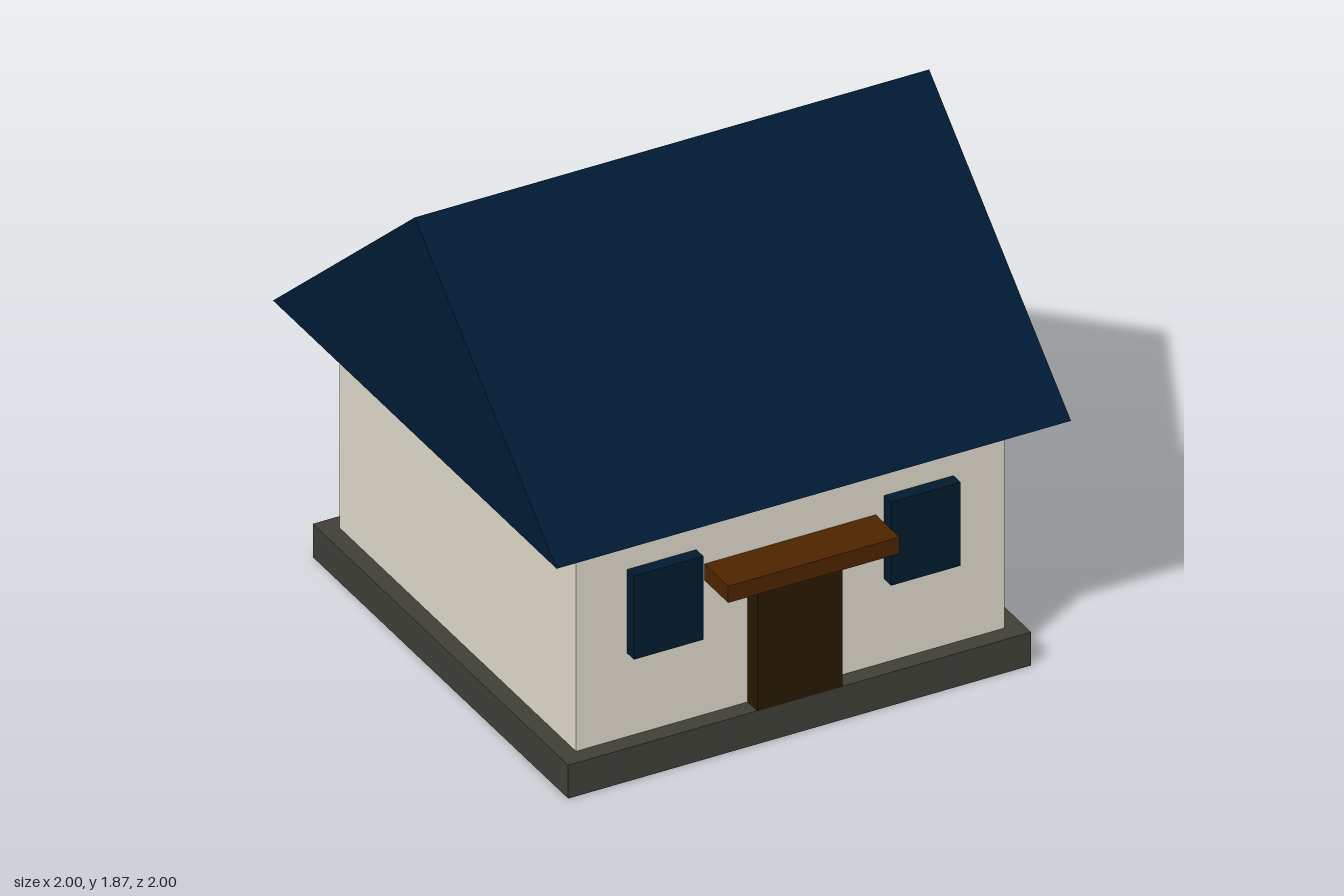
import * as THREE from 'three';

const material = (name, color) => {
  const m = new THREE.MeshStandardMaterial({ color });
  m.name = name;
  return m;
};

export function createModel() {
  const house = new THREE.Group();
  house.name = 'house';

  const stone = material('dark stone', 0x3f3f38);
  stone.side = THREE.DoubleSide;
  const plaster = material('cream plaster', 0xded8ca);
  const slate = material('navy roof', 0x001a34);
  const glass = material('dark blue glass', 0x001a2e);
  const doorWood = material('dark door wood', 0x281800);
  const awningWood = material('brown awning wood', 0x4d2400);

  const add = (name, geometry, mat) => {
    const mesh = new THREE.Mesh(geometry, mat);
    mesh.name = name;
    house.add(mesh);
    return mesh;
  };

  // Box given by its lowest and highest corners
  const box = (name, mat, [x0, y0, z0], [x1, y1, z1]) => {
    const mesh = add(name, new THREE.BoxGeometry(x1 - x0, y1 - y0, z1 - z0), mat);
    mesh.position.set((x0 + x1) / 2, (y0 + y1) / 2, (z0 + z1) / 2);
    return mesh;
  };

  // Foundation: a hollow tray, open underneath
  const foundation = box('foundation', stone, [-0.9, 0, -0.9], [0.9, 0.133, 0.9]).geometry;
  const underside = foundation.groups[3];
  foundation.setIndex([...foundation.index.array].filter(
    (_, i) => i < underside.start || i >= underside.start + underside.count));
  foundation.clearGroups();

  box('walls', plaster, [-0.833, 0.133, -0.833], [0.833, 1, 0.833]);
  box('door', doorWood, [-0.165, 0.133, 0.833], [0.165, 0.6, 0.902]);
  box('awning', awningWood, [-0.333, 0.667, 0.833], [0.333, 0.733, 1]);

  // Front windows, mirrored
  for (const [name, x] of [['leftWindow', 0.5], ['rightWindow', -0.5]]) {
    box(name, glass, [x - 0.135, 0.467, 0.833], [x + 0.135, 0.8, 0.883]);
  }

  // Gable roof: triangle extruded along the ridge
  const gable = new THREE.Shape([
    new THREE.Vector2(-1, 1),
    new THREE.Vector2(1, 1),
    new THREE.Vector2(0, 1.867),
  ]);
  const roof = new THREE.ExtrudeGeometry(gable, { depth: 2, bevelEnabled: false });
  roof.translate(0, 0, -1).rotateY(Math.PI / 2);
  add('roof', roof, slate);

  return house;
}
